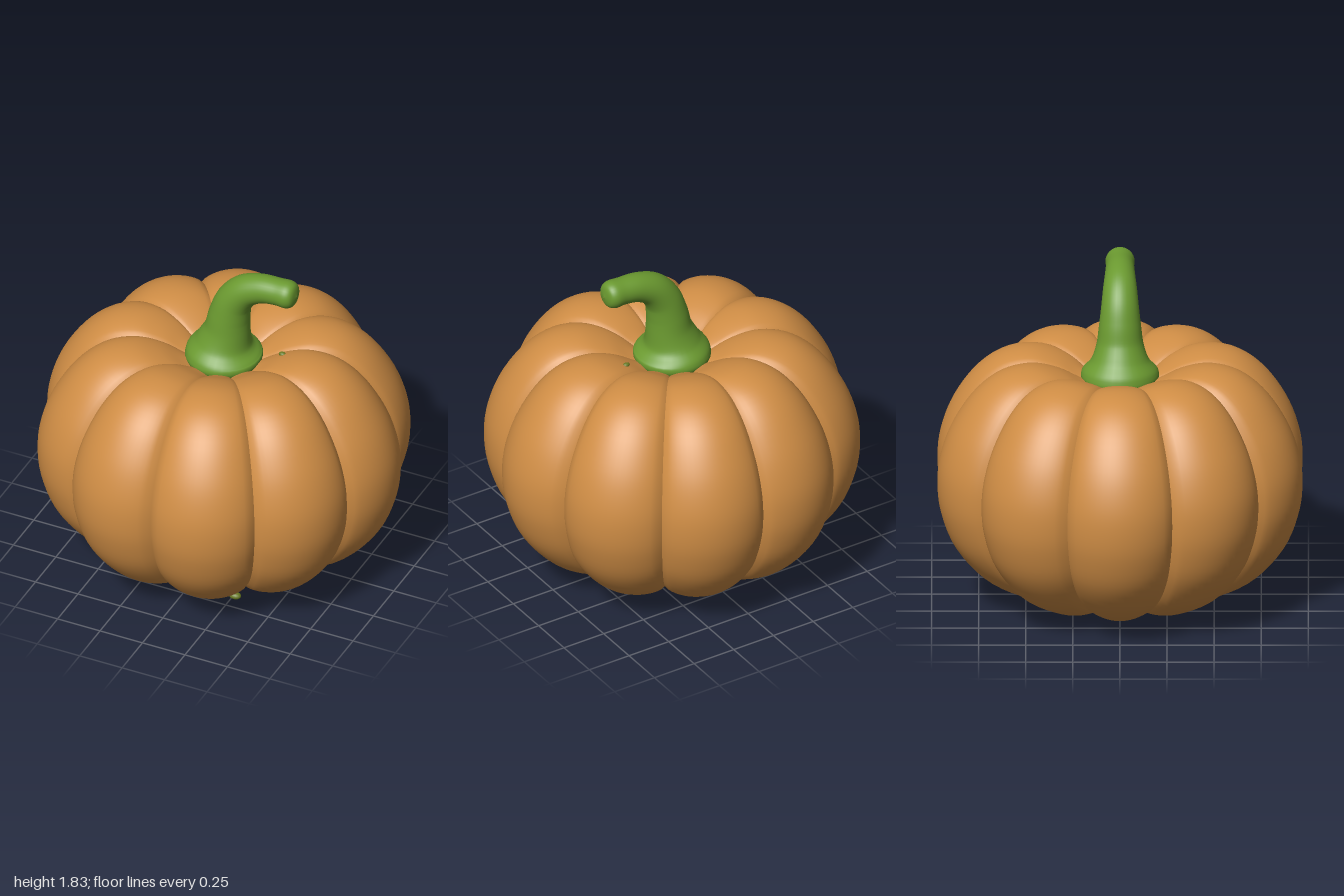
import * as THREE from 'three';

const LOBES = 10;

const orange = new THREE.MeshStandardMaterial({ color: 0xcf8d45 });
orange.name = 'pumpkinOrange';
const green = new THREE.MeshStandardMaterial({ color: 0x6b9a30 });
green.name = 'stemGreen';
const olive = new THREE.MeshStandardMaterial({ color: 0x687a24 });
olive.name = 'oliveGreen';

function addMesh(parent, name, geometry, material) {
  const mesh = new THREE.Mesh(geometry, material);
  mesh.name = name;
  parent.add(mesh);
  return mesh;
}

// One swollen wedge, pinched towards the grooves on both of its sides
function lobeGeometry(profile, index) {
  const step = (Math.PI * 2) / LOBES;
  const geometry = new THREE.LatheGeometry(profile, 20, index * step, step);
  const pos = geometry.attributes.position;
  for (let i = 0; i < pos.count; i++) {
    const x = pos.getX(i), y = pos.getY(i), z = pos.getZ(i);
    const angle = Math.atan2(x, z);
    const dip = 1 - Math.pow(Math.abs(Math.sin(angle * LOBES / 2)), 0.65);
    const pinch = 1 - 0.1 * dip;
    pos.setXYZ(i, x * pinch, 0.7 + (y - 0.7) * (1 - 0.06 * dip), z * pinch);
  }
  geometry.computeVertexNormals();
  return geometry;
}

// Round sections swept along a bent centre line; each point is (x, y, radius)
function stemGeometry() {
  const path = new THREE.CatmullRomCurve3([
    [0, 1.2, 0.185], [0, 1.25, 0.208], [0, 1.285, 0.2], [0.005, 1.34, 0.155],
    [0.02, 1.42, 0.126], [0.033, 1.52, 0.112], [0.062, 1.62, 0.1],
    [0.125, 1.7, 0.09], [0.22, 1.744, 0.08], [0.32, 1.755, 0.075],
    [0.385, 1.755, 0.076], [0.415, 1.755, 0.058], [0.43, 1.755, 0.001],
  ].map((p) => new THREE.Vector3(...p)));
  const rings = 72, sides = 32, verts = [], index = [];
  for (let i = 0; i <= rings; i++) {
    const c = path.getPoint(i / rings);
    const t = path.getTangent(i / rings);
    const len = Math.hypot(t.x, t.y) || 1;
    const radius = Math.max(c.z, 0.001);
    for (let j = 0; j < sides; j++) {
      const a = (j / sides) * Math.PI * 2;
      const across = radius * Math.cos(a);
      verts.push(c.x - (t.y / len) * across, c.y + (t.x / len) * across, radius * Math.sin(a));
      if (i < rings) {
        const p = i * sides + j, q = i * sides + (j + 1) % sides;
        index.push(p, q, q + sides, p, q + sides, p + sides);
      }
    }
  }
  const geometry = new THREE.BufferGeometry();
  geometry.setAttribute('position', new THREE.Float32BufferAttribute(verts, 3));
  geometry.setIndex(index);
  geometry.computeVertexNormals();
  return geometry;
}

export function createModel() {
  const model = new THREE.Group();
  model.name = 'pumpkin';

  // Ribbed body, profile runs from the underside up to the stem hollow
  const body = new THREE.Group();
  body.name = 'body';
  model.add(body);
  const profile = new THREE.SplineCurve([
    [0.1, 0.07], [0.2, 0.035], [0.3, 0.005], [0.4, 0.015], [0.55, 0.065],
    [0.75, 0.18], [0.905, 0.36], [0.98, 0.55], [1, 0.72], [0.98, 0.88],
    [0.915, 1.05], [0.8, 1.215], [0.66, 1.32], [0.5, 1.355], [0.35, 1.325],
    [0.22, 1.26], [0.1, 1.2],
  ].map((p) => new THREE.Vector2(...p))).getPoints(72);
  for (let i = 0; i < LOBES; i++) {
    addMesh(body, 'lobe' + (i + 1), lobeGeometry(profile, i), orange);
  }

  // Curved stem with a flared foot
  addMesh(model, 'stem', stemGeometry(), green);

  // Blossom scar closing the underside
  const scar = addMesh(model, 'bottomScar', new THREE.CylinderGeometry(0.275, 0.275, 0.05, 32), olive);
  scar.position.y = 0.035;

  // Small nubs on the skin
  const nub = new THREE.SphereGeometry(1, 16, 10);
  const lowerNub = addMesh(model, 'lowerNub', nub, olive);
  lowerNub.position.set(0.29, 0.06, 0.47);
  lowerNub.scale.set(0.035, 0.02, 0.025);
  const upperNub = addMesh(model, 'upperNub', nub, olive);
  upperNub.position.set(0.32, 1.312, -0.05);
  upperNub.scale.set(0.02, 0.012, 0.015);

  return model;
}
